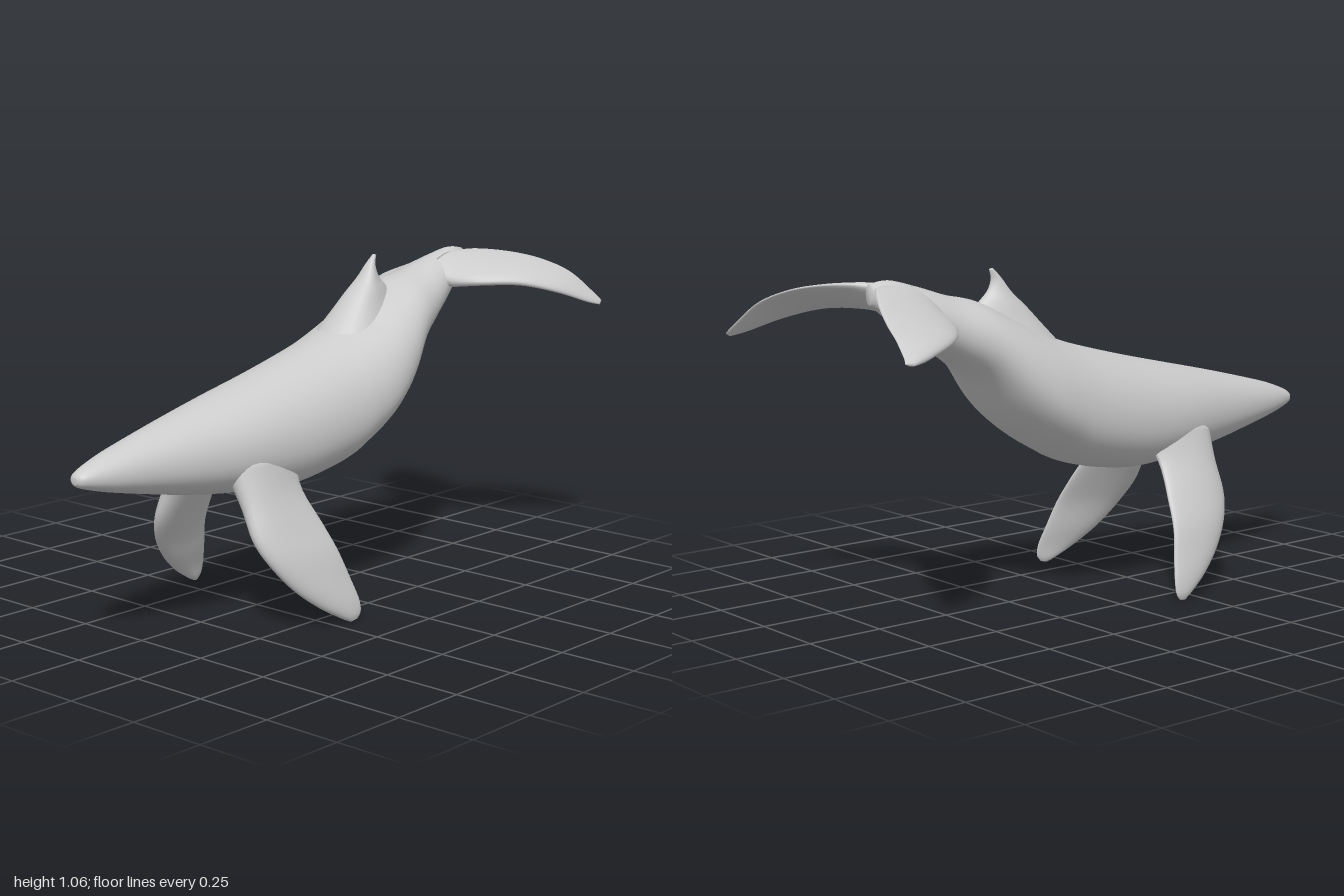
import * as THREE from 'three';

const material = new THREE.MeshStandardMaterial({ color: 0xcccccc });

// Smoothly interpolate every column of a table of section values
function sample(rows, u) {
  const f = u * (rows.length - 1);
  const i = Math.min(Math.floor(f), rows.length - 2);
  const t = f - i;
  const at = (k) => rows[Math.max(0, Math.min(rows.length - 1, k))];
  return rows[0].map((_, c) => {
    const [a, b, d, e] = [at(i - 1)[c], at(i)[c], at(i + 1)[c], at(i + 2)[c]];
    const m = (d - a) / 2, n = (e - b) / 2;
    return b + t * (m + t * (3 * (d - b) - 2 * m - n + t * (2 * (b - d) + m + n)));
  });
}

// Closed skin over rings; ringPoint(u, angle) gives a Vector3
function loft(name, ringPoint, steps, sides) {
  const pos = [], index = [];
  const centers = [new THREE.Vector3(), new THREE.Vector3()];
  for (let i = 0; i <= steps; i++) {
    for (let j = 0; j < sides; j++) {
      const p = ringPoint(i / steps, (j / sides) * Math.PI * 2);
      pos.push(p.x, p.y, p.z);
      if (i === 0) centers[0].addScaledVector(p, 1 / sides);
      if (i === steps) centers[1].addScaledVector(p, 1 / sides);
      if (i === steps) continue;
      const a = i * sides + j, b = i * sides + ((j + 1) % sides);
      index.push(a, b, a + sides, b, b + sides, a + sides);
    }
  }
  // End caps
  const first = (steps + 1) * sides;
  centers.forEach((c) => pos.push(c.x, c.y, c.z));
  for (let j = 0; j < sides; j++) {
    const k = (j + 1) % sides, last = steps * sides;
    index.push(first, k, j, first + 1, last + j, last + k);
  }
  // Turn the faces outwards if the enclosed volume is negative
  const v = (k) => new THREE.Vector3().fromArray(pos, index[k] * 3);
  let volume = 0;
  for (let k = 0; k < index.length; k += 3) volume += v(k).dot(v(k + 1).cross(v(k + 2)));
  if (volume < 0) index.reverse();
  const g = new THREE.BufferGeometry();
  g.setAttribute('position', new THREE.Float32BufferAttribute(pos, 3));
  g.setIndex(index);
  g.computeVertexNormals();
  const mesh = new THREE.Mesh(g, material);
  mesh.name = name;
  return mesh;
}

// Fin from rows of: leading edge xyz, trailing edge xyz, half thickness
function fin(name, rows, span, bend = (p) => p) {
  return loft(name, (u, a) => {
    const r = sample(rows, u);
    const lead = new THREE.Vector3(r[0], r[1], r[2]);
    const trail = new THREE.Vector3(r[3], r[4], r[5]);
    const normal = trail.clone().sub(lead).cross(span).normalize();
    const c = Math.cos(a);
    // Thicker towards the leading edge
    const p = lead.lerp(trail, (1 - c) / 2);
    return bend(p.addScaledVector(normal, r[6] * Math.sin(a) * (1 + 0.35 * c)));
  }, 32, 28);
}

// z, top y, widest y, bottom y, half width
const BODY = [
  [1.0, 0.545, 0.535, 0.525, 0.012],
  [0.98, 0.563, 0.537, 0.511, 0.034],
  [0.9, 0.593, 0.535, 0.488, 0.062],
  [0.8, 0.62, 0.535, 0.466, 0.088],
  [0.6, 0.668, 0.535, 0.427, 0.135],
  [0.4, 0.712, 0.54, 0.4, 0.178],
  [0.2, 0.757, 0.55, 0.386, 0.202],
  [0.0, 0.808, 0.585, 0.418, 0.217],
  [-0.1, 0.84, 0.62, 0.463, 0.222],
  [-0.2, 0.88, 0.67, 0.525, 0.221],
  [-0.3, 0.93, 0.745, 0.608, 0.2],
  [-0.4, 0.975, 0.84, 0.732, 0.162],
  [-0.5, 0.997, 0.89, 0.805, 0.125],
  [-0.6, 1.028, 0.945, 0.87, 0.092],
  [-0.7, 1.053, 0.995, 0.935, 0.05],
  [-0.77, 1.045, 1.015, 0.985, 0.015],
];

const FLIPPER = [
  [0.12, 0.49, 0.49, 0.13, 0.5, 0.21, 0.055],
  [0.165, 0.39, 0.48, 0.175, 0.41, 0.235, 0.043],
  [0.21, 0.29, 0.48, 0.245, 0.3, 0.21, 0.035],
  [0.25, 0.21, 0.445, 0.29, 0.22, 0.19, 0.03],
  [0.285, 0.13, 0.38, 0.32, 0.13, 0.165, 0.025],
  [0.315, 0.065, 0.3, 0.34, 0.07, 0.15, 0.018],
  [0.335, 0.02, 0.225, 0.348, 0.03, 0.15, 0.012],
  [0.343, 0.003, 0.19, 0.347, 0.008, 0.165, 0.004],
];

const FLUKE = [
  [0.02, 0.965, -0.56, 0.015, 1.035, -0.74, 0.04],
  [0.1, 0.95, -0.575, 0.06, 1.042, -0.79, 0.034],
  [0.2, 0.955, -0.61, 0.15, 1.035, -0.85, 0.024],
  [0.3, 0.955, -0.7, 0.24, 1.015, -0.9, 0.02],
  [0.375, 0.925, -0.81, 0.33, 0.975, -0.945, 0.016],
  [0.42, 0.885, -0.92, 0.4, 0.91, -0.982, 0.01],
  [0.435, 0.87, -0.975, 0.425, 0.88, -1.0, 0.004],
];

const DORSAL = [
  [0, 0.8, -0.05, 0, 0.88, -0.43, 0.1],
  [0, 0.88, -0.13, 0, 0.93, -0.39, 0.07],
  [0, 0.94, -0.19, 0, 0.965, -0.36, 0.05],
  [0, 0.99, -0.245, 0, 0.995, -0.328, 0.032],
  [0, 1.035, -0.28, 0, 1.03, -0.315, 0.016],
  [0, 1.065, -0.308, 0, 1.062, -0.322, 0.005],
];

export function createModel() {
  const group = new THREE.Group();
  group.name = 'whale';

  // Body: rounded back, fuller belly
  const bulge = (v, e) => Math.sign(v) * Math.abs(v) ** e;
  group.add(loft('body', (u, a) => {
    const [z, top, mid, bottom, w] = sample(BODY, u);
    const s = Math.sin(a);
    const x = w * bulge(Math.cos(a), s < 0 ? 0.85 : 1);
    const y = mid + (s > 0 ? top - mid : mid - bottom) * bulge(s, s < 0 ? 0.9 : 1);
    return new THREE.Vector3(x, y, z);
  }, 90, 48));

  group.add(fin('dorsalFin', DORSAL, new THREE.Vector3(0, 1, 0)));

  // Paired flippers and tail flukes
  const mirror = (p) => p.setX(-p.x);
  const flipperSpan = new THREE.Vector3(0.45, -0.88, -0.1);
  group.add(fin('leftFlipper', FLIPPER, flipperSpan));
  group.add(fin('rightFlipper', FLIPPER, flipperSpan, mirror));

  // The right fluke droops and swings forward a little
  const droop = (p) => {
    const t = Math.max(0, Math.min(1, p.x / 0.44));
    p.y -= 0.05 * Math.sin(Math.PI * t ** 1.5);
    p.z += 0.055 * t * t;
    return mirror(p);
  };
  const flukeSpan = new THREE.Vector3(0.9, -0.1, -0.4);
  group.add(fin('leftFluke', FLUKE, flukeSpan));
  group.add(fin('rightFluke', FLUKE, flukeSpan, droop));

  return group;
}
